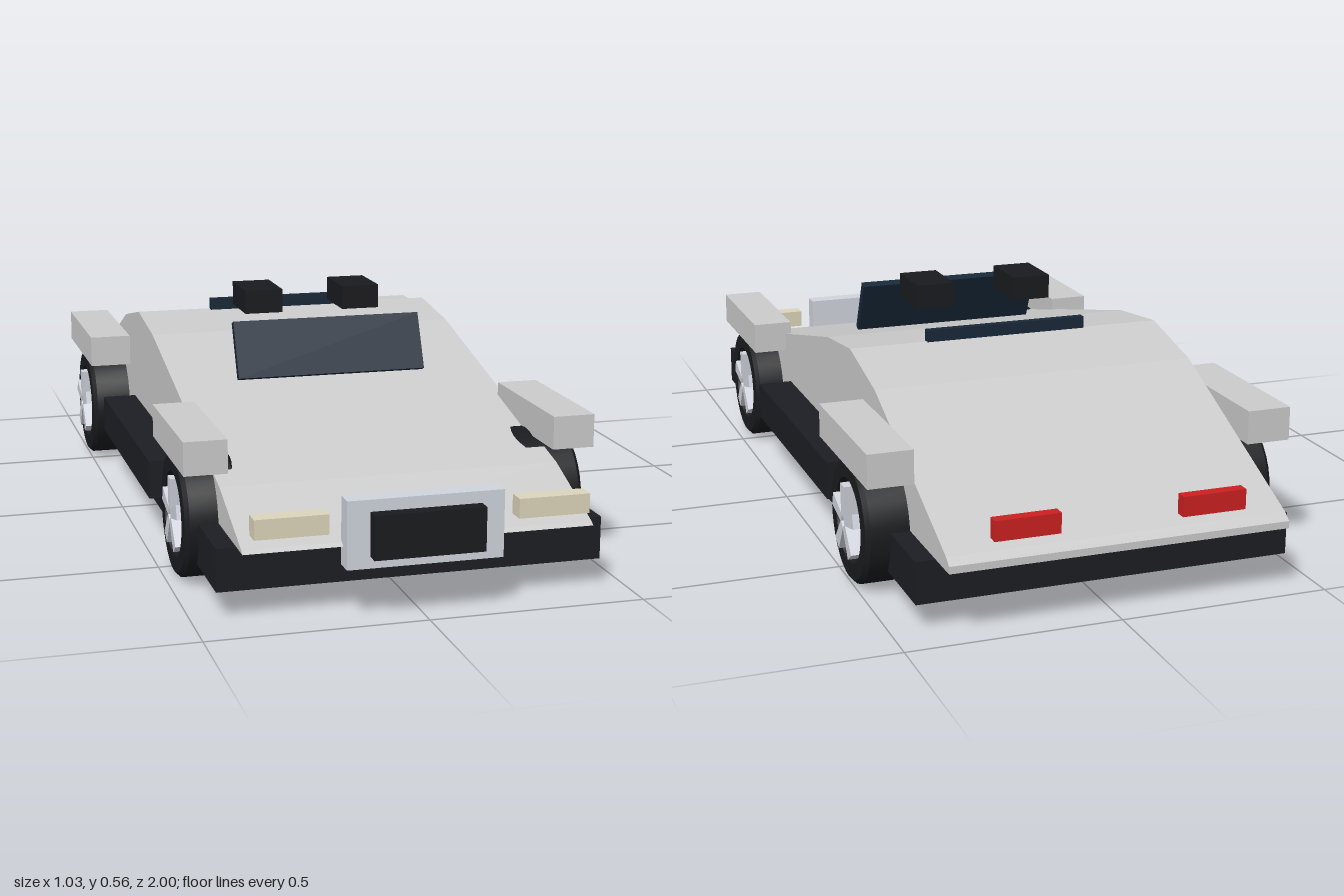
import * as THREE from 'three';
import { toCreasedNormals } from 'three/addons/utils/BufferGeometryUtils.js';

const mat = (color) => new THREE.MeshStandardMaterial({ color });

export function createModel() {
  const car = new THREE.Group();
  car.name = 'wedgeCar';
  const grey = mat(0xcccccc), dark = mat(0x1c1e23), black = mat(0x1a1b1e);
  const silver = mat(0xd0d4dd), glass = mat(0x182838), cream = mat(0xddd5bb), red = mat(0xcc2020);

  const add = (name, geometry, material, parent = car) => {
    const mesh = new THREE.Mesh(geometry, material);
    mesh.name = name;
    parent.add(mesh);
    return mesh;
  };
  // Box given by its limits along each axis
  const box = (name, material, [x0, x1], [y0, y1], [z0, z1]) => {
    const mesh = add(name, new THREE.BoxGeometry(x1 - x0, y1 - y0, z1 - z0), material);
    mesh.position.set((x0 + x1) / 2, (y0 + y1) / 2, (z0 + z1) / 2);
    return mesh;
  };
  // Same box on both sides of the car
  const pair = (name, material, [x0, x1], y, z) => {
    box(name + 'Left', material, [x0, x1], y, z);
    box(name + 'Right', material, [-x1, -x0], y, z);
  };

  // Wedge body: side profile (z, y) extruded across the width
  const profile = [[0.94, 0.163], [0.93, 0.17], [0.72, 0.25], [-0.07, 0.437], [-0.27, 0.46],
    [-0.475, 0.415], [-0.98, 0.195], [-1, 0.18], [-1, 0.163]];
  const side = new THREE.Shape(profile.map(([z, y]) => new THREE.Vector2(-z, y)));
  const bodyGeometry = new THREE.ExtrudeGeometry(side, { depth: 0.8, bevelEnabled: false });
  bodyGeometry.translate(0, 0, -0.4).rotateY(Math.PI / 2);
  add('body', bodyGeometry, grey);

  // Chassis and side skirts
  box('chassis', dark, [-0.445, 0.445], [0.063, 0.162], [-0.91, 0.88]);
  pair('sideSkirt', dark, [0.4, 0.487], [0.117, 0.21], [-0.357, 0.327]);

  // Fenders
  pair('frontFender', grey, [0.384, 0.484], [0.285, 0.363], [0.375, 0.737]);
  pair('rearFender', grey, [0.405, 0.512], [0.29, 0.37], [-0.783, -0.393]);

  // Windshield, headrests and engine cover bar
  const windshield = add('windshield', new THREE.BoxGeometry(0.48, 0.145, 0.02), glass);
  windshield.position.set(0, 0.439, 0.19);
  windshield.rotation.x = -0.42;
  pair('headrest', black, [0.08, 0.177], [0.5, 0.56], [-0.11, 0.035]);
  box('rearBar', glass, [-0.205, 0.205], [0.44, 0.488], [-0.275, -0.255]);

  // Lights and grille
  pair('headlight', cream, [0.215, 0.38], [0.2, 0.245], [0.92, 0.962]);
  pair('tailLight', red, [0.143, 0.295], [0.218, 0.265], [-0.99, -0.963]);
  box('grilleFrame', silver, [-0.178, 0.178], [0.118, 0.272], [0.923, 0.968]);
  box('grille', black, [-0.126, 0.126], [0.145, 0.245], [0.96, 1]);

  // Wheels: recessed tyre lathe with five tapered spokes, outer face towards +x
  const spokeShape = new THREE.Shape([[-0.011, 0.012], [0.011, 0.012], [0.017, 0.087], [-0.017, 0.087]]
    .map(([x, y]) => new THREE.Vector2(x, y)));
  const wheel = (name, width, rimWidth) => {
    const group = new THREE.Group();
    group.name = name;
    const outline = [[0, 0], [0.135, 0], [0.147, 0.01], [0.147, width - 0.01], [0.137, width],
      [0.1, width], [0.094, width - 0.025], [0, width - 0.025]];
    const tyre = new THREE.LatheGeometry(outline.map(([r, a]) => new THREE.Vector2(r, a)), 32);
    add('tyre', toCreasedNormals(tyre.rotateZ(-Math.PI / 2), 0.5), black, group);
    for (let i = 0; i < 5; i++) {
      const depth = rimWidth - width + 0.03;
      const spoke = new THREE.ExtrudeGeometry(spokeShape, { depth, bevelEnabled: false });
      spoke.translate(0, 0, width - 0.03).rotateY(Math.PI / 2).rotateX(i * Math.PI * 0.4);
      add('spoke' + (i + 1), spoke, silver, group);
    }
    return group;
  };
  for (const s of [1, -1]) {
    const label = s > 0 ? 'Left' : 'Right';
    const front = wheel('frontWheel' + label, 0.13, 0.138);
    front.position.set(s * 0.345, 0.148, 0.56);
    const rear = wheel('rearWheel' + label, 0.155, 0.168);
    rear.position.set(s * 0.346, 0.148, -0.587);
    for (const w of [front, rear]) {
      if (s < 0) w.rotation.y = Math.PI;
      car.add(w);
    }
  }
  return car;
}
